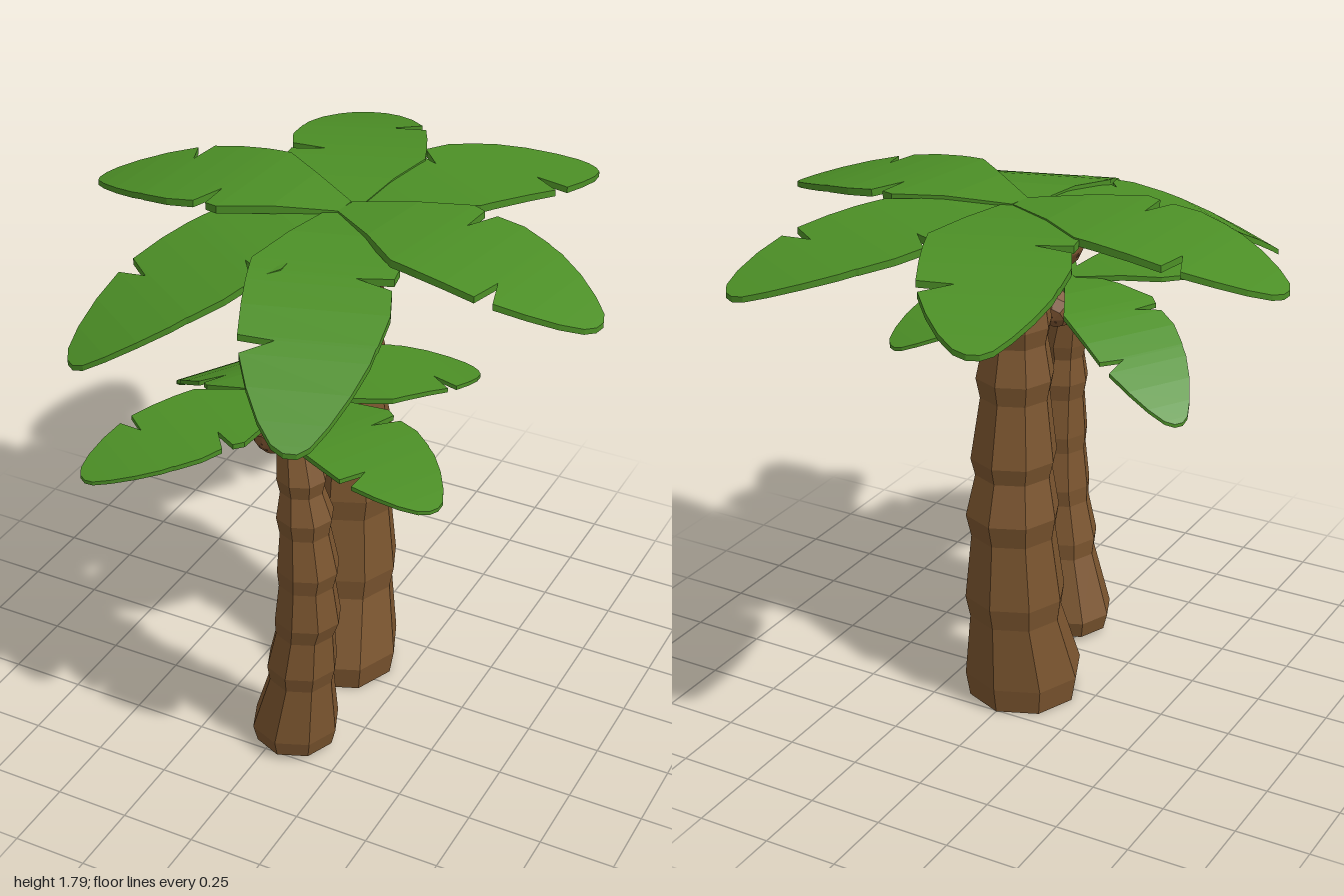
import * as THREE from 'three';

const bark = new THREE.MeshStandardMaterial({ color: 0x7b552f, flatShading: true });
bark.name = 'bark brown';
const shell = new THREE.MeshStandardMaterial({ color: 0x7d5431, flatShading: true });
shell.name = 'coconut brown';
const dark = new THREE.MeshStandardMaterial({ color: 0x4a301c, side: THREE.DoubleSide });
dark.name = 'dark brown';
const green = new THREE.MeshStandardMaterial({ color: 0x4c8f26, flatShading: true });
green.name = 'leaf green';

function named(mesh, name) {
  mesh.name = name;
  return mesh;
}

// Eight-sided trunk that follows rings of [y, x, z, radius]
function trunk(rings) {
  const n = rings.length - 1;
  const geo = new THREE.CylinderGeometry(1, 1, 1, 8, n);
  const p = geo.attributes.position;
  for (let i = 0; i < p.count; i++) {
    const [y, x, z, r] = rings[Math.round((p.getY(i) + 0.5) * n)];
    p.setXYZ(i, x + p.getX(i) * r, y, z + p.getZ(i) * r);
  }
  geo.computeVertexNormals();
  return named(new THREE.Mesh(geo, bark), 'trunk');
}

// Leaf outline: [distance along, left half width, right half width], with a notch per side
const LEAF = [
  [0, 0.04, 0.04], [0.2, 0.14, 0.14], [0.36, 0.225, 0.23], [0.41, 0.215, 0.23],
  [0.42, 0.1, 0.23], [0.46, 0.215, 0.23], [0.56, 0.225, 0.225], [0.67, 0.205, 0.215],
  [0.68, 0.2, 0.1], [0.73, 0.19, 0.2], [0.83, 0.15, 0.16], [0.92, 0.1, 0.11],
  [0.98, 0.055, 0.06], [1, 0.02, 0.02],
];

// Thick drooping leaf, lofted along a curve from base to tip
function leaf(base, tip, arch, scale, thick) {
  const a = new THREE.Vector3(...base), b = new THREE.Vector3(...tip);
  const mid = a.clone().add(b).multiplyScalar(0.5).setY(a.y + arch);
  const curve = new THREE.QuadraticBezierCurve3(a, mid, b);
  const side = new THREE.Vector3(a.z - b.z, 0, b.x - a.x).normalize();
  const pos = [], idx = [];
  for (const [t, l, r] of LEAF) {
    const c = curve.getPoint(t);
    const th = thick * (1 - 0.4 * t);
    // Order: top left, top right, bottom right, bottom left
    for (const [w, dy] of [[-l, 0], [r, 0], [r, -th], [-l, -th]]) {
      pos.push(c.x + side.x * w * scale, c.y + dy, c.z + side.z * w * scale);
    }
  }
  for (let i = 0; i < LEAF.length - 1; i++) {
    for (let k = 0; k < 4; k++) {
      const p = i * 4 + k, q = i * 4 + (k + 1) % 4;
      idx.push(p, q, p + 4, q, q + 4, p + 4);
    }
  }
  const e = (LEAF.length - 1) * 4;
  idx.push(0, 2, 1, 0, 3, 2, e, e + 1, e + 2, e, e + 2, e + 3);
  const geo = new THREE.BufferGeometry();
  geo.setAttribute('position', new THREE.Float32BufferAttribute(pos, 3));
  geo.setIndex(idx);
  geo.computeVertexNormals();
  return named(new THREE.Mesh(geo, green), 'leaf');
}

// Faceted coconut with three small eyes facing away from the trunk
function coconut(x, y, z, r, cx, cz) {
  const g = named(new THREE.Group(), 'coconut');
  const ball = new THREE.SphereGeometry(r, 8, 5);
  ball.rotateX(Math.PI / 2);
  g.add(named(new THREE.Mesh(ball, shell), 'coconutShell'));
  for (let i = 0; i < 3; i++) {
    const t = i * Math.PI * 2 / 3 + Math.PI / 2;
    const eye = named(new THREE.Mesh(new THREE.CircleGeometry(r * 0.08, 6), dark), 'coconutEye');
    eye.position.set(Math.cos(t) * r * 0.2, Math.sin(t) * r * 0.2, r * 0.955);
    g.add(eye);
  }
  g.position.set(x, y, z);
  g.lookAt(x + (x - cx), y - 0.04, z + (z - cz));
  return g;
}

function palm(name, { rings, crown, tips, leafScale, thick, nuts, nutRadius }) {
  const g = named(new THREE.Group(), name);
  g.add(trunk(rings));
  tips.forEach(([x, y, z, arch], i) => {
    const base = [crown[0], crown[1] - (i % 3) * 0.006, crown[2]];
    g.add(leaf(base, [x, y, z], arch, leafScale, thick));
  });
  for (const [x, y, z] of nuts) g.add(coconut(x, y, z, nutRadius, crown[0], crown[2]));
  return g;
}

export function createModel() {
  const model = named(new THREE.Group(), 'palmTrees');
  model.add(palm('largePalm', {
    rings: [
      [0, 0, -0.065, 0.19], [0.09, 0, -0.065, 0.205], [0.33, 0, -0.115, 0.16],
      [0.41, 0, -0.12, 0.173], [0.64, 0, -0.13, 0.145], [0.72, 0, -0.135, 0.16],
      [0.86, 0, -0.125, 0.132], [0.92, 0, -0.125, 0.147], [1.13, 0, -0.115, 0.118],
      [1.2, 0, -0.115, 0.132], [1.32, 0, -0.11, 0.108], [1.38, 0.005, -0.11, 0.125],
      [1.62, 0.01, -0.1, 0.09], [1.75, 0.01, -0.1, 0.07],
    ],
    crown: [0, 1.775, -0.08],
    // Leaf tips and how far each leaf arches
    tips: [
      [-0.93, 1.66, -0.13, 0.06], [-0.36, 1.66, -0.99, 0.06], [0.5, 1.66, -0.94, 0.06],
      [0.92, 1.66, 0.07, 0.06], [0.28, 1.45, 0.82, 0.05], [-0.54, 1.47, 0.7, 0.04],
    ],
    leafScale: 1, thick: 0.03,
    nuts: [[-0.07, 1.645, 0.04], [-0.14, 1.685, -0.12], [0.04, 1.66, -0.255], [0.13, 1.685, -0.13]],
    nutRadius: 0.1,
  }));
  model.add(palm('smallPalm', {
    rings: [
      [0.02, 0.06, 0.395, 0.135], [0.08, 0.06, 0.395, 0.15], [0.3, 0.095, 0.415, 0.11],
      [0.36, 0.1, 0.42, 0.12], [0.5, 0.115, 0.425, 0.1], [0.56, 0.125, 0.425, 0.112],
      [0.7, 0.125, 0.43, 0.094], [0.76, 0.13, 0.43, 0.104], [0.9, 0.12, 0.43, 0.084],
      [0.96, 0.12, 0.43, 0.095], [1.05, 0.11, 0.43, 0.072], [1.1, 0.11, 0.43, 0.083],
      [1.25, 0.08, 0.41, 0.06], [1.34, 0.07, 0.4, 0.05],
    ],
    crown: [0.07, 1.36, 0.4],
    tips: [
      [-0.33, 1.28, 0.98, 0.03], [0.7, 1.34, 0.74, 0.06],
      [0.42, 1.24, -0.19, 0.05], [-0.51, 1.07, 0.05, 0.01],
    ],
    leafScale: 0.76, thick: 0.02,
    nuts: [[0.055, 1.28, 0.5], [0.165, 1.295, 0.4], [0.06, 1.275, 0.295]],
    nutRadius: 0.068,
  }));
  return model;
}
